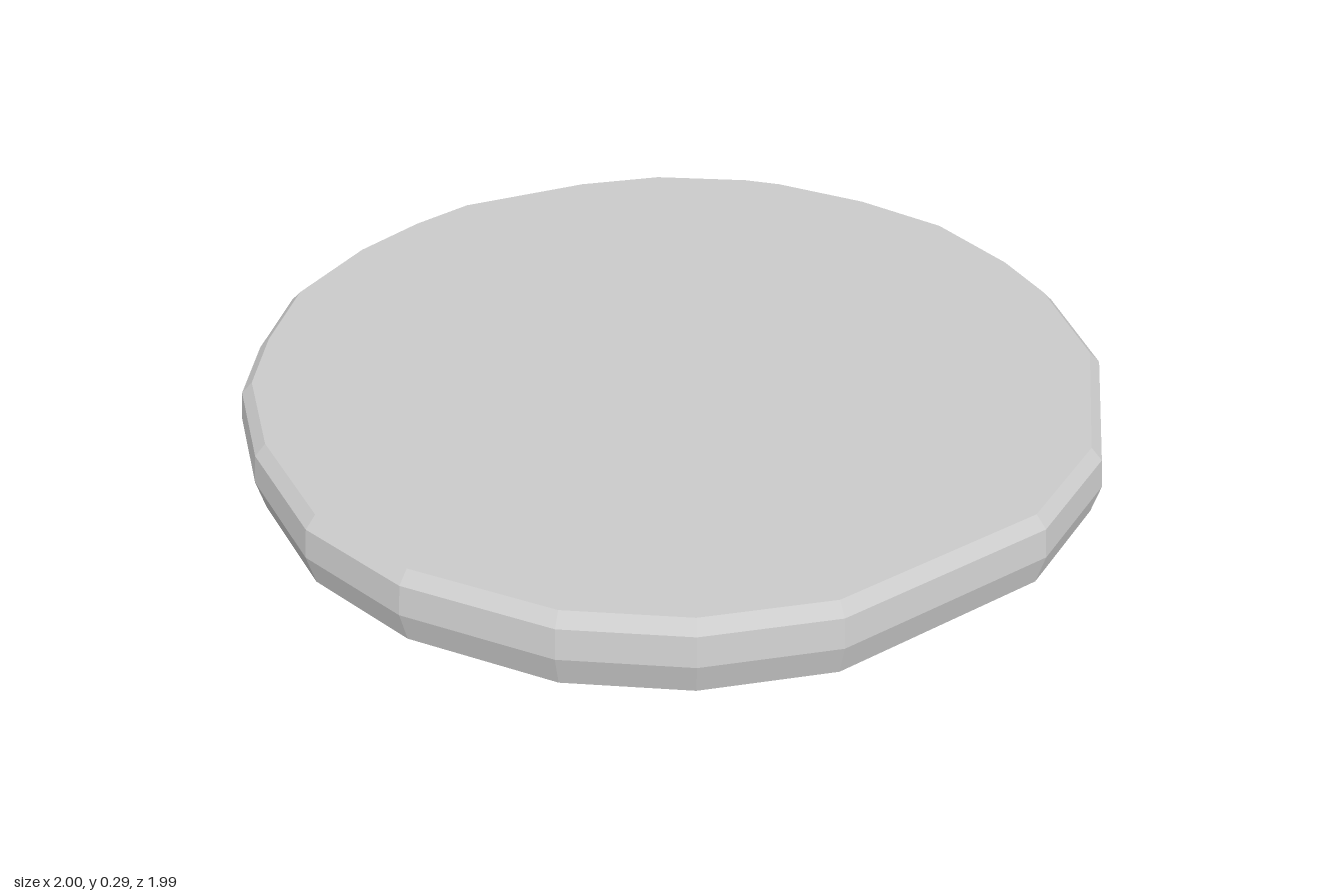
import * as THREE from 'three';
import { ConvexGeometry } from 'three/addons/geometries/ConvexGeometry.js';

const material = new THREE.MeshStandardMaterial({ color: 0xcccccc, flatShading: true, side: THREE.DoubleSide });

// Irregular faceted outline of the clock, as x, z pairs
const outline = [
  [0.18, -1], [0.43, -0.92], [0.52, -0.87], [0.72, -0.7], [0.88, -0.5], [0.97, -0.25],
  [1, -0.07], [0.98, 0.24], [0.8, 0.62], [0.58, 0.82], [0.1, 0.99], [-0.18, 0.98],
  [-0.43, 0.9], [-0.7, 0.71], [-0.87, 0.49], [-0.97, 0.2], [-1, -0.07], [-0.96, -0.27],
  [-0.88, -0.5], [-0.71, -0.71], [-0.55, -0.84], [-0.4, -0.93], [-0.05, -1],
];

// Skin the outline through rings of [height, scale]
function loft(rings) {
  const n = outline.length, positions = [], index = [];
  for (const [y, s] of rings) for (const [x, z] of outline) positions.push(x * s, y, z * s);
  for (let r = 0; r < rings.length - 1; r++) {
    for (let i = 0; i < n; i++) {
      const j = (i + 1) % n, a = r * n + i, b = r * n + j, c = a + n, d = b + n;
      index.push(a, b, d, a, d, c);
    }
  }
  const g = new THREE.BufferGeometry();
  g.setAttribute('position', new THREE.Float32BufferAttribute(positions, 3));
  g.setIndex(index);
  const flat = g.toNonIndexed();
  flat.computeVertexNormals();
  return flat;
}

const hull = (points) => new ConvexGeometry(points.map((p) => new THREE.Vector3(...p)));

export function createModel() {
  const group = new THREE.Group();
  const add = (name, geometry) => {
    const mesh = new THREE.Mesh(geometry, material);
    mesh.name = name;
    group.add(mesh);
  };

  // Case: flat back on top, bulging edge, rim and recessed dial underneath
  add('caseAndDial', loft([
    [0.29, 0], [0.29, 0.965], [0.265, 0.99], [0.2, 1], [0.13, 0.985], [0.09, 0.93],
    [0.09, 0.84], [0.18, 0.77], [0.18, 0],
  ]));

  // Solid quarter filling the recess flush with the rim
  const arc = outline.slice(6, 11).map(([x, z]) => [x * 0.93, z * 0.93]);
  const sector = [[0.1, -0.07], ...arc, [0.1, 0.92]];
  add('filledQuarter', hull(sector.flatMap(([x, z]) => [[x, 0.089, z], [x, 0.2, z]])));

  // Hub joining the hands to the dial
  add('hub', hull([
    [0.1, 0.19, -0.07], [-0.02, 0.19, -0.07], [0.1, 0.19, 0.05], [-0.02, 0.19, 0.05],
    [0.09, 0.08, -0.07], [0.06, 0, -0.04], [0, 0, -0.02], [0.05, 0, 0.03],
  ]));

  // Long slim hand
  add('longHand', hull([
    [0.07, 0.005, -0.03], [0.01, 0.005, -0.05], [0.09, 0.085, -0.03], [0.01, 0.085, -0.07],
    [-0.32, 0.01, 0.58], [-0.37, 0.01, 0.55], [-0.35, 0.045, 0.63], [-0.4, 0.03, 0.56],
    [-0.31, 0.08, 0.52], [-0.4, 0.075, 0.52],
  ]));

  // Short broad hand
  add('shortHand', hull([
    [0.07, 0, -0.04], [0, 0, -0.03], [0.1, 0.09, -0.07], [0, 0.09, -0.06],
    [0.02, 0.045, 0.47], [-0.02, 0.08, 0.45], [0.04, 0.08, 0.4],
    [-0.1, 0.02, 0.33], [-0.14, 0.08, 0.3],
  ]));
  return group;
}
